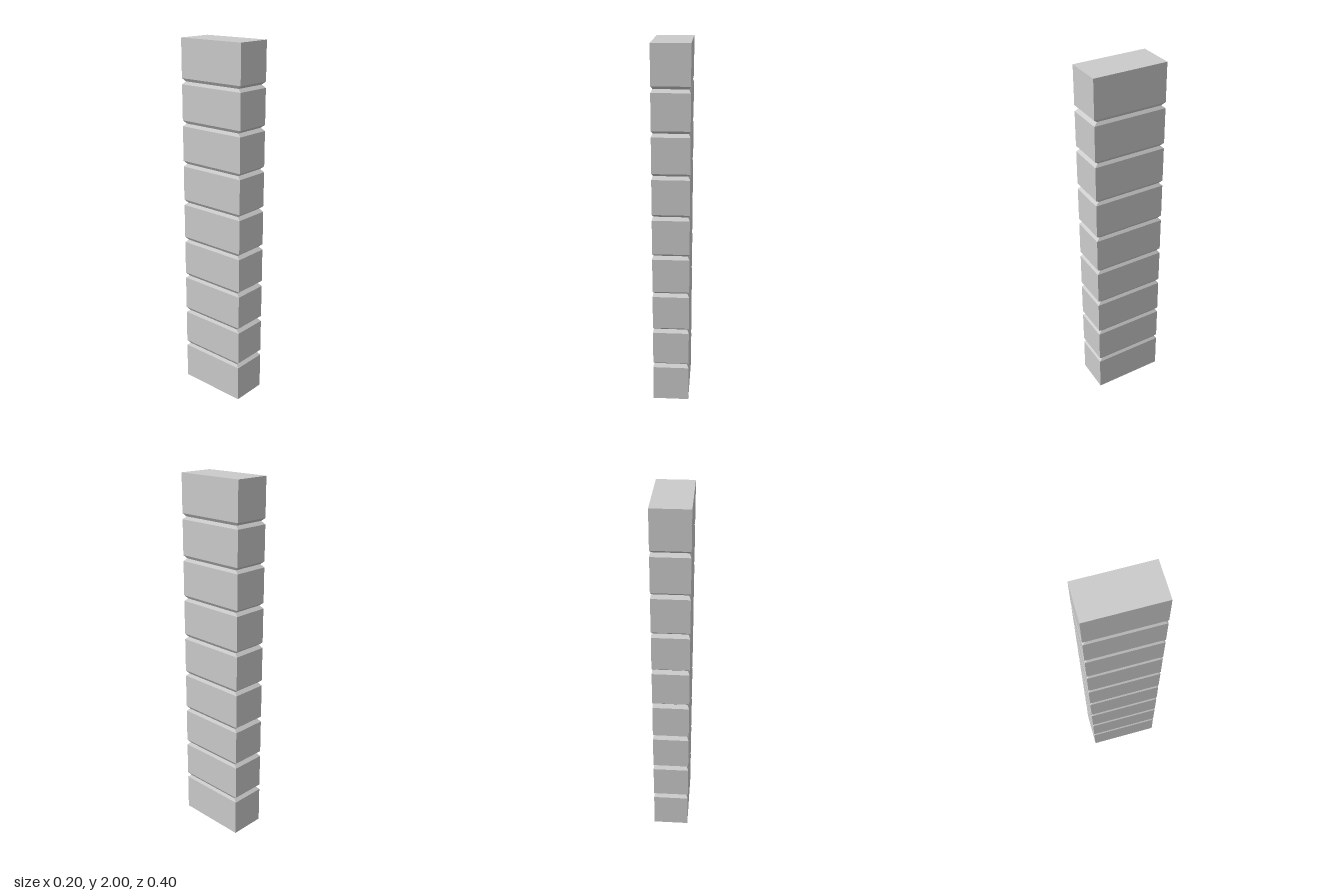
import * as THREE from 'three';

const BLOCKS = 9, HEIGHT = 2, WIDTH = 0.2, DEPTH = 0.4;
const GROOVE_HALF = 0.016; // half the height of a V groove
const GROOVE_SCALE = 0.9;  // cross-section at the bottom of a groove

// Height and cross-section scale of each ring, from the base to the top
function columnRings() {
  const rings = [[0, 1]];
  for (let k = 1; k < BLOCKS; k++) {
    const y = (k * HEIGHT) / BLOCKS;
    rings.push([y - GROOVE_HALF, 1], [y, GROOVE_SCALE], [y + GROOVE_HALF, 1]);
  }
  rings.push([HEIGHT, 1]);
  return rings;
}

export function createModel() {
  const group = new THREE.Group();
  group.name = 'blockColumn';

  // Rectangular column, its box rings moved to form the chamfered joints
  const rings = columnRings();
  const segments = rings.length - 1;
  const geometry = new THREE.BoxGeometry(WIDTH, HEIGHT, DEPTH, 1, segments, 1);
  const pos = geometry.attributes.position;
  for (let i = 0; i < pos.count; i++) {
    const ring = Math.round((pos.getY(i) / HEIGHT + 0.5) * segments);
    const [y, s] = rings[ring];
    pos.setXYZ(i, pos.getX(i) * s, y, pos.getZ(i) * s);
  }
  geometry.computeVertexNormals();

  const material = new THREE.MeshStandardMaterial({ color: 0xcccccc, flatShading: true });
  const column = new THREE.Mesh(geometry, material);
  column.name = 'stackedBlocks';
  group.add(column);
  return group;
}
